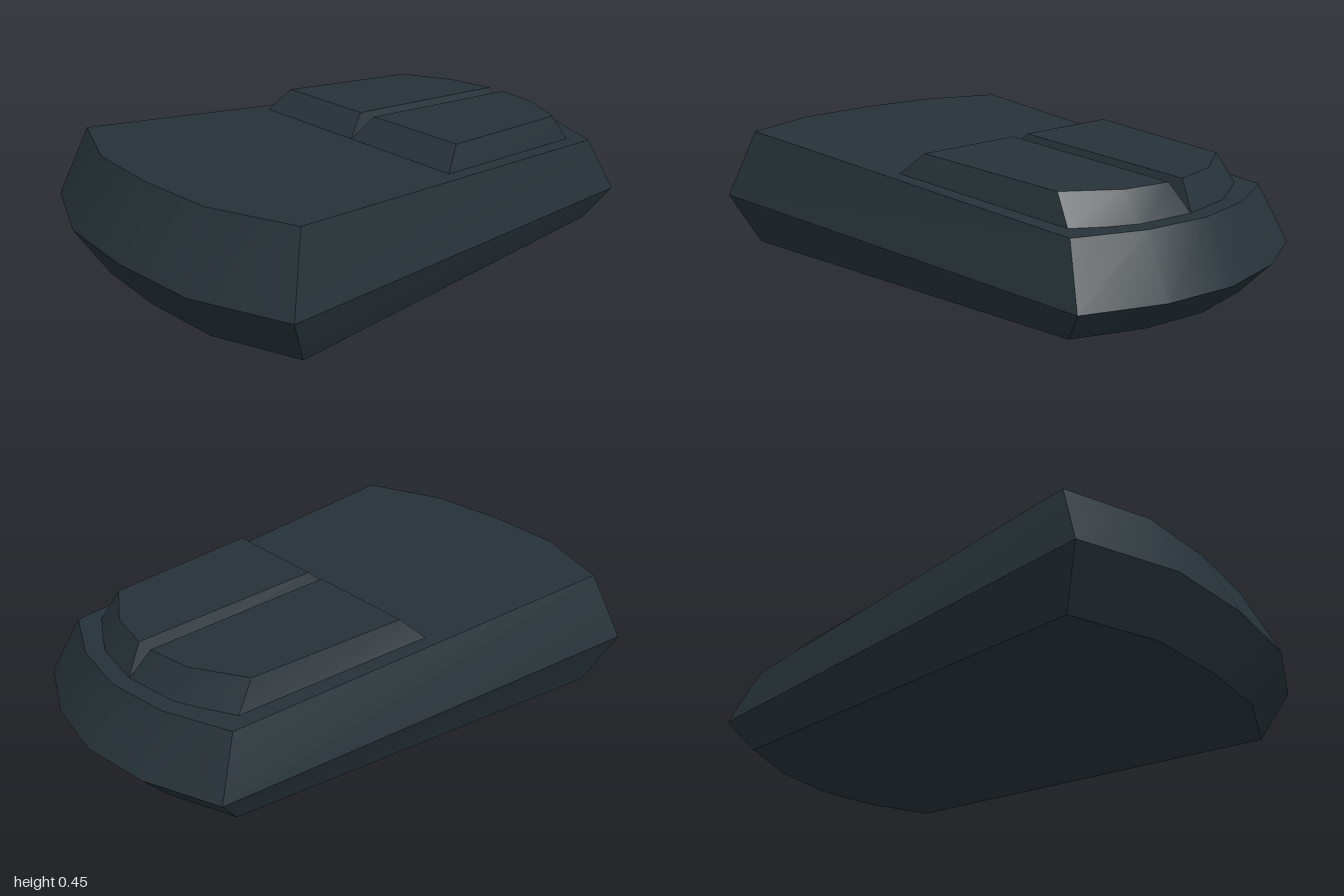
import * as THREE from 'three';
import { toCreasedNormals } from 'three/addons/utils/BufferGeometryUtils.js';

// Height that slopes from yBack to yFront between two z positions, flat beyond them
const slope = (z, zBack, yBack, zFront, yFront) =>
  yBack + (yFront - yBack) * THREE.MathUtils.clamp((z - zBack) / (zFront - zBack), 0, 1);
const deckY = z => slope(z, -0.755, 0.315, 0.75, 0.43);

// Outline [x, z] running back, +x side, front -> ring of [x, y, z]
const ring = (outline, height) => outline.map(([x, z]) => [x, height(z), z]);
const mirrorHalf = half => [...half, ...half.slice(1, -1).reverse().map(([x, z]) => [-x, z])];

// Skin stacked rings and close both ends with strips running across the shape
function loft(rings, ladderStart) {
  const pos = [];
  const tri = (a, b, c) => {
    if (a !== b && b !== c && a !== c) pos.push(...a, ...b, ...c);
  };
  const n = rings[0].length;
  for (let k = 0; k < rings.length - 1; k++) {
    const lo = rings[k], up = rings[k + 1];
    for (let i = 0; i < n; i++) {
      const j = (i + 1) % n;
      tri(lo[j], lo[i], up[i]);
      tri(lo[j], up[i], up[j]);
    }
  }
  const cap = (r, flip) => {
    const face = (a, b, c) => (flip ? tri(a, b, c) : tri(a, c, b));
    let i = ladderStart, j = ladderStart + n;
    while (j - i > 1) {
      const [a, b, c, d] = [i, i + 1, j - 1, j].map(q => r[q % n]);
      face(a, b, c);
      face(a, c, d);
      i++;
      j--;
    }
  };
  cap(rings[0], true);
  cap(rings[rings.length - 1], false);
  const geo = new THREE.BufferGeometry();
  geo.setAttribute('position', new THREE.Float32BufferAttribute(pos, 3));
  return toCreasedNormals(geo, 0.45);
}

export function createModel() {
  const group = new THREE.Group();
  const slate = new THREE.MeshStandardMaterial({ color: 0x263238 });
  slate.name = 'dark slate';

  const add = (name, geometry) => {
    const mesh = new THREE.Mesh(geometry, slate);
    mesh.name = name;
    group.add(mesh);
  };

  // Wedge body: narrow top and bottom outlines, wider waist
  const edge = mirrorHalf([[0, -0.89], [0.24, -0.855], [0.475, -0.755], [0.605, 0.75], [0.3, 0.868], [0, 0.887]]);
  const waist = mirrorHalf([[0, -1], [0.265, -0.96], [0.535, -0.845], [0.68, 0.84], [0.34, 0.975], [0, 1]]);
  add('body', loft([
    ring(edge, () => 0),
    ring(waist, z => slope(z, -0.845, 0.115, 0.84, 0.18)),
    ring(edge, deckY),
  ], 0));

  // Two bevelled buttons meeting in a V groove
  const base = [[0, -0.83], [0.21, -0.8], [0.42, -0.695], [0.49, 0.025], [0, 0.025]];
  const top = [[0.035, -0.762], [0.21, -0.733], [0.397, -0.627], [0.445, -0.055], [0.035, -0.055]];
  for (const [name, side] of [['leftButton', 1], ['rightButton', -1]]) {
    const place = pts => (side > 0 ? pts : pts.map(([x, z]) => [-x, z]).reverse());
    add(name, loft([
      ring(place(base), z => deckY(z) - 0.003),
      ring(place(top), z => slope(z, -0.762, 0.41, -0.055, 0.45)),
    ], 0));
  }
  return group;
}
